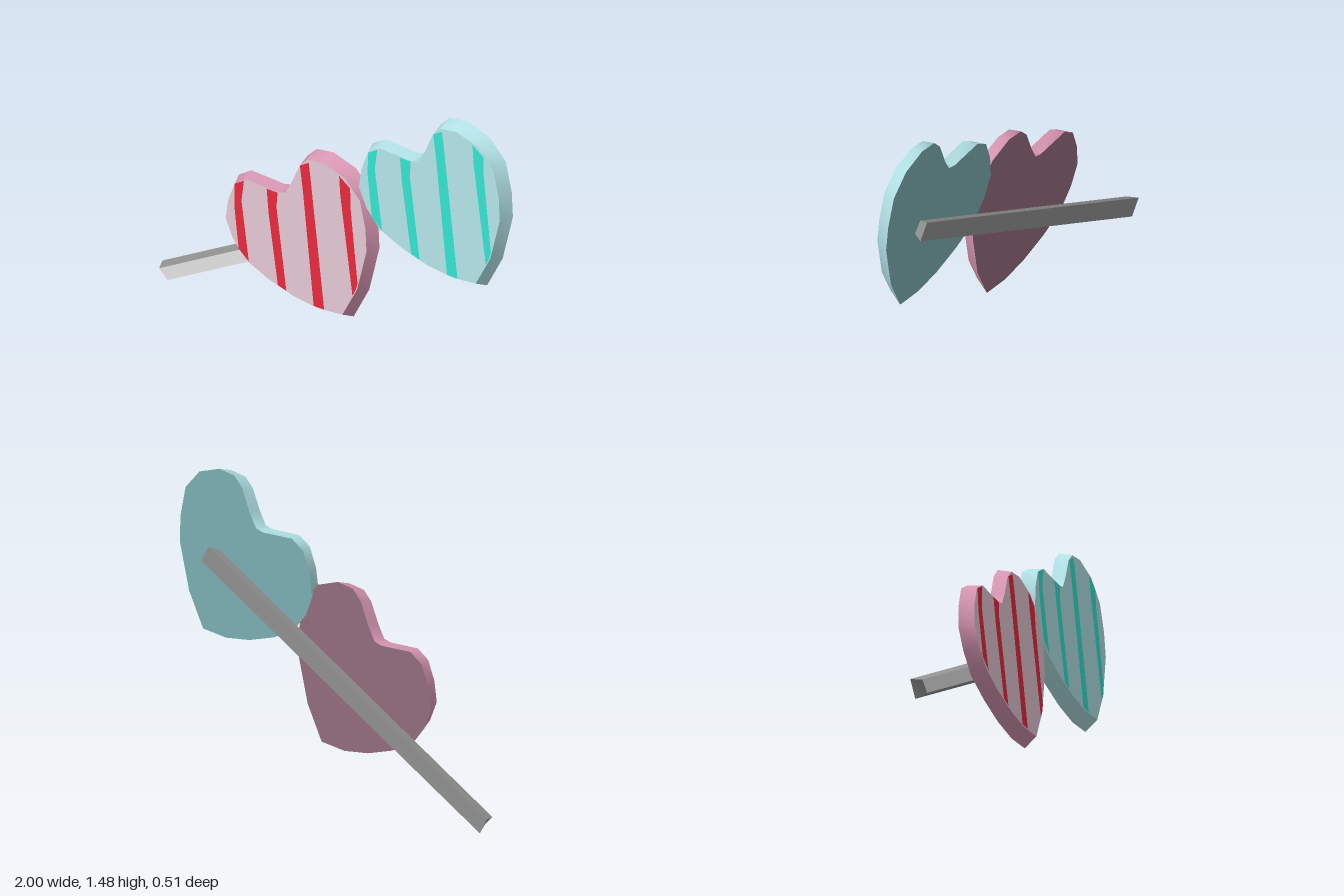
import * as THREE from 'three';
import { toCreasedNormals } from 'three/addons/utils/BufferGeometryUtils.js';

const mat = (name, color) => {
  const m = new THREE.MeshStandardMaterial({ color });
  m.name = name;
  return m;
};

// Everything lies parallel to one leaning plane
const lean = (x, y, offset) => [x, y, offset - 0.235 * x - 0.04 * y];

// Slab between two matching counter-clockwise outlines; groups are rim, back, front
function slab(back, front, zBack, zFront) {
  const B = back.map(([x, y]) => lean(x, y, zBack));
  const F = front.map(([x, y]) => lean(x, y, zFront));
  const pos = [];
  const tri = (a, b, c) => pos.push(...a, ...b, ...c);
  const caps = THREE.ShapeUtils.triangulateShape(back.map(([x, y]) => new THREE.Vector2(x, y)), []);
  for (let i = 0; i < B.length; i++) {
    const j = (i + 1) % B.length;
    tri(B[i], B[j], F[j]);
    tri(B[i], F[j], F[i]);
  }
  for (const [a, b, c] of caps) tri(B[a], B[c], B[b]);
  for (const [a, b, c] of caps) tri(F[a], F[b], F[c]);
  const g = new THREE.BufferGeometry();
  g.setAttribute('position', new THREE.Float32BufferAttribute(pos, 3));
  const rimCount = B.length * 6, capCount = caps.length * 3;
  g.addGroup(0, rimCount, 0);
  g.addGroup(rimCount, capCount, 1);
  g.addGroup(rimCount + capCount, capCount, 2);
  return toCreasedNormals(g, 0.9);
}

// Flat painted patch on the leaning plane
function patch(pts, offset) {
  const g = new THREE.ShapeGeometry(new THREE.Shape(pts.map(([x, y]) => new THREE.Vector2(x, y))));
  const p = g.attributes.position;
  for (let i = 0; i < p.count; i++) p.setXYZ(i, ...lean(p.getX(i), p.getY(i), offset));
  g.computeVertexNormals();
  return g;
}

// Heart outline, listed clockwise from the left side
const HEART = [
  [-0.575, 0.54], [-0.564, 0.658], [-0.527, 0.77], [-0.457, 0.818], [-0.27, 0.802],
  [-0.227, 0.813], [-0.19, 0.888], [-0.147, 1.005], [-0.099, 1.059], [-0.003, 1.07],
  [0.126, 1.021], [0.219, 0.914], [0.258, 0.754], [0.269, 0.615], [0.22, 0.364],
  [0.138, 0.183], [-0.008, 0.173], [-0.158, 0.2], [-0.313, 0.255], [-0.446, 0.325],
  [-0.527, 0.428],
].reverse();

// Painted stripes, each clockwise from its top left corner
const STRIPES = [
  [[-0.486, 0.767], [-0.435, 0.8], [-0.445, 0.684], [-0.393, 0.354], [-0.452, 0.408], [-0.484, 0.642]],
  [[-0.307, 0.797], [-0.246, 0.795], [-0.249, 0.711], [-0.179, 0.258], [-0.227, 0.274], [-0.291, 0.658]],
  [[-0.126, 0.989], [-0.078, 1.021], [-0.067, 0.952], [0.035, 0.222], [-0.024, 0.224], [-0.104, 0.845]],
  [[0.094, 1.003], [0.158, 0.952], [0.163, 0.845], [0.216, 0.43], [0.208, 0.393], [0.19, 0.352], [0.104, 0.898]],
];

function candyHeart(name, dx, dy, zBack, zFront, bodyMaterials, stripe) {
  const group = new THREE.Group();
  group.name = name;
  const move = (pts) => pts.map(([x, y]) => [x + dx, y + dy]);
  // Bevelled front outline is a slightly smaller heart
  const front = HEART.map(([x, y]) => [-0.139 + (x + 0.155) * 0.936, 0.631 + (y - 0.623) * 0.922]);
  const body = new THREE.Mesh(slab(move(HEART), move(front), zBack, zFront), bodyMaterials);
  body.name = name + 'Body';
  group.add(body);
  STRIPES.forEach((s, i) => {
    const mesh = new THREE.Mesh(patch(move(s), zFront + 0.003), stripe);
    mesh.name = name + 'Stripe' + (i + 1);
    group.add(mesh);
  });
  return group;
}

export function createModel() {
  const model = new THREE.Group();
  model.name = 'heartCandyStick';

  const pink = mat('pink', 0xd897b3);
  const palePink = mat('palePink', 0xe2c6d2);
  const darkPink = mat('darkPink', 0x956e7f);
  const red = mat('red', 0xe62a3d);
  const aqua = mat('aqua', 0xb2e2e6);
  const darkAqua = mat('darkAqua', 0x7db1b4);
  const teal = mat('teal', 0x34e2cf);
  const lightGrey = mat('lightGrey', 0xe0e0e0);
  const darkGrey = mat('darkGrey', 0x929292);

  // Straight stick with bevelled front edges and a lighter front
  const stick = new THREE.Mesh(
    slab(
      [[-1, 0.09], [-0.95, 0.003], [0.79, 0.99], [0.74, 1.077]],
      [[-0.97, 0.082], [-0.922, 0.03], [0.77, 0.99], [0.73, 1.048]],
      -0.03, 0.03),
    [darkGrey, darkGrey, lightGrey]);
  stick.name = 'stick';
  model.add(stick);

  // Two matching hearts along the stick
  model.add(candyHeart('lowerHeart', 0, 0, 0.05, 0.127, [pink, darkPink, palePink], red));
  model.add(candyHeart('upperHeart', 0.727, 0.412, 0.037, 0.115, [aqua, darkAqua, aqua], teal));
  return model;
}
